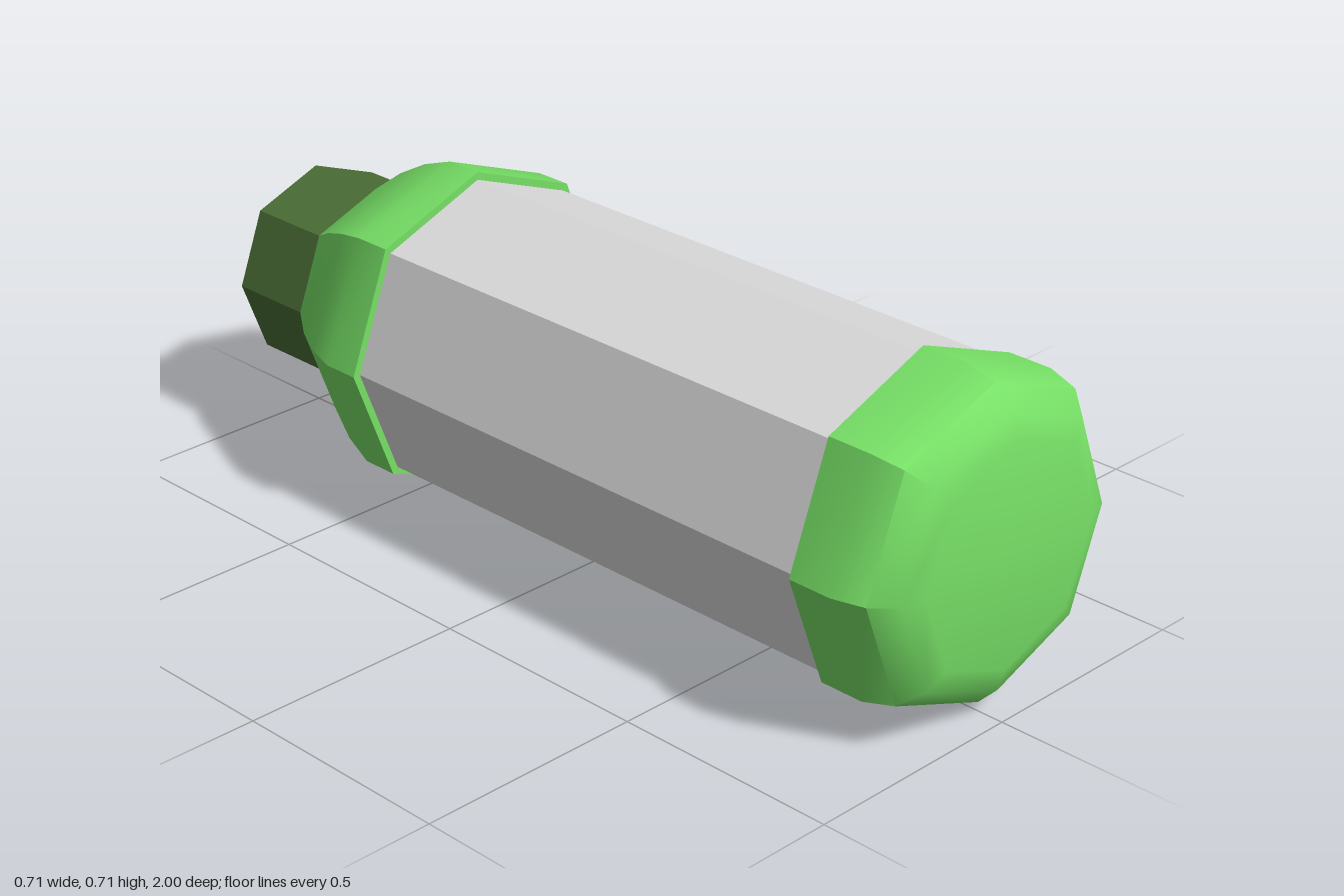
import * as THREE from 'three';
import { toCreasedNormals } from 'three/addons/utils/BufferGeometryUtils.js';

const AXIS_HEIGHT = 0.354;

// Eight-sided solid along z from [z, radius] pairs, listed back to front.
function octagonSolid(profile, creaseDegrees) {
  const points = profile.map(([z, r]) => new THREE.Vector2(r, z));
  const geometry = new THREE.LatheGeometry(points, 8);
  const pos = geometry.attributes.position;
  // The diagonal corners sit slightly further out than the axis corners.
  for (let i = 0; i < pos.count; i++) {
    const x = pos.getX(i), z = pos.getZ(i);
    if (Math.abs(x) > 1e-4 && Math.abs(z) > 1e-4) {
      pos.setX(i, x * 1.024);
      pos.setZ(i, z * 1.024);
    }
  }
  geometry.rotateX(Math.PI / 2);
  return toCreasedNormals(geometry, THREE.MathUtils.degToRad(creaseDegrees));
}

export function createModel() {
  const group = new THREE.Group();
  const material = (name, color) => {
    const m = new THREE.MeshStandardMaterial({ color });
    m.name = name;
    return m;
  };
  const green = material('bright green', 0x77e066);
  const grey = material('light grey', 0xdcdcdc);
  const darkGreen = material('dark green', 0x4a6e36);

  function add(name, mat, profile, crease) {
    const mesh = new THREE.Mesh(octagonSolid(profile, crease), mat);
    mesh.name = name;
    mesh.position.y = AXIS_HEIGHT;
    group.add(mesh);
  }

  // Faceted tube between the two green ends
  add('body', grey, [[-0.46, 0], [-0.46, 0.337], [0.78, 0.337], [0.78, 0]], 10);

  // Rounded base
  add('baseCap', green, [
    [0.77, 0], [0.77, 0.354], [0.87, 0.354], [0.94, 0.335],
    [0.985, 0.29], [1, 0.24], [1, 0],
  ], 37);

  // Shoulder narrowing to the neck
  add('shoulder', green, [
    [-0.775, 0], [-0.775, 0.222], [-0.69, 0.283], [-0.61, 0.326],
    [-0.53, 0.354], [-0.445, 0.354], [-0.445, 0],
  ], 37);

  // Bevelled lid
  add('lid', darkGreen, [
    [-1, 0], [-1, 0.195], [-0.975, 0.221], [-0.77, 0.221], [-0.77, 0],
  ], 10);

  return group;
}
